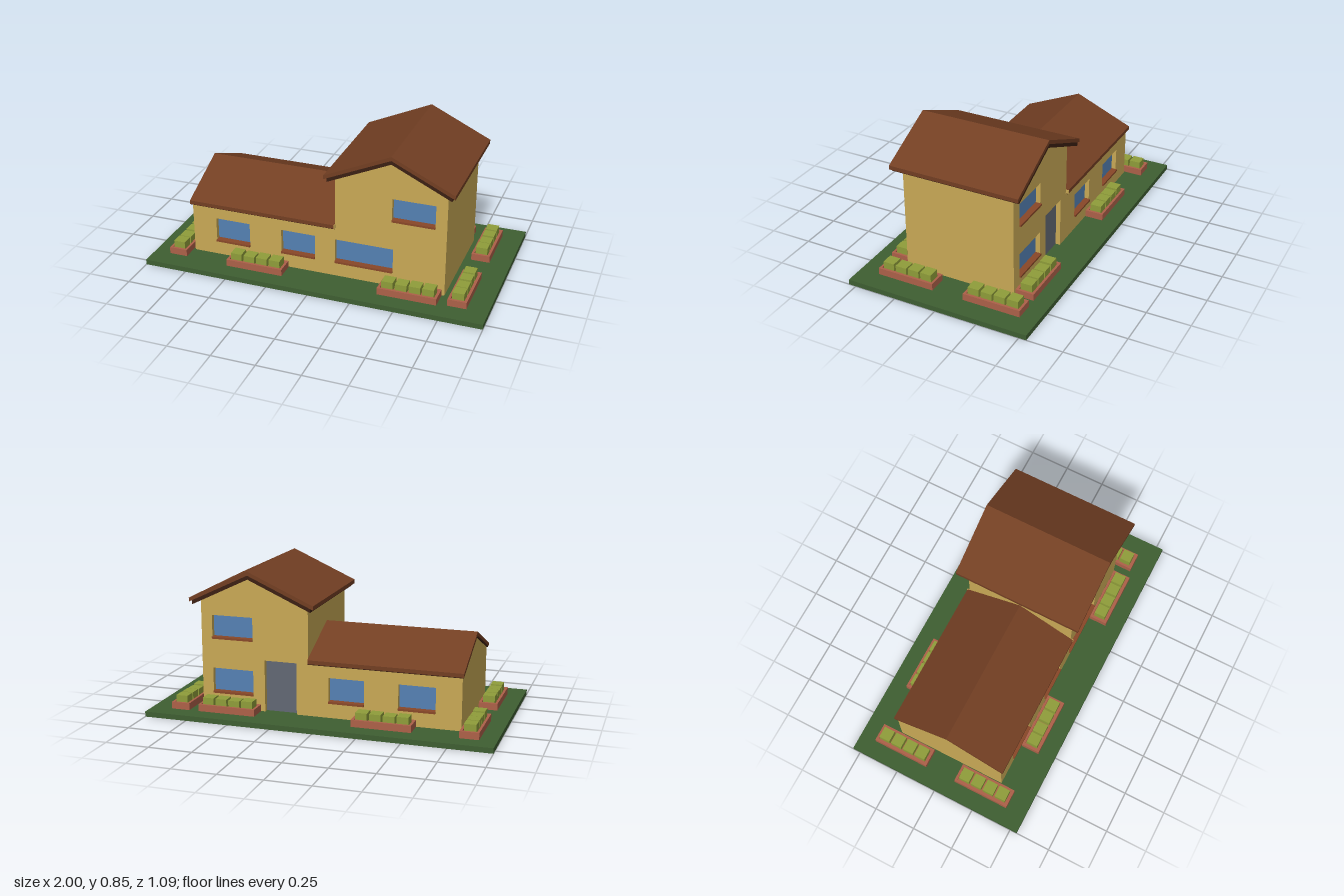
import * as THREE from 'three';

const mat = (name, color) => Object.assign(new THREE.MeshStandardMaterial({ color }), { name });

export function createModel() {
  const house = new THREE.Group();
  house.name = 'house';

  const grass = mat('grass green', 0x3f5f32);
  const plaster = mat('ochre plaster', 0xcaaa56);
  const roofBrown = mat('roof brown', 0x733f23);
  const fasciaBrown = mat('dark fascia', 0x3c2013);
  const sillBrown = mat('sill brown', 0x8a4828);
  const glass = mat('window blue', 0x5581b4);
  const doorGrey = mat('door grey', 0x636974);
  const brick = mat('planter brick', 0xae6149);
  const leaf = mat('bush green', 0x909e3a);

  const add = (name, geometry, material, parent = house) => {
    const mesh = new THREE.Mesh(geometry, material);
    mesh.name = name;
    parent.add(mesh);
    return mesh;
  };
  // Box given by its limits on each axis
  const box = (name, [x0, x1], [y0, y1], [z0, z1], material, parent) =>
    add(name, new THREE.BoxGeometry(x1 - x0, y1 - y0, z1 - z0)
      .translate((x0 + x1) / 2, (y0 + y1) / 2, (z0 + z1) / 2), material, parent);
  const outline = (points) => new THREE.Shape(points.map(([x, y]) => new THREE.Vector2(x, y)));
  const extrude = (shape, z0, z1) =>
    new THREE.ExtrudeGeometry(shape, { depth: z1 - z0, bevelEnabled: false }).translate(0, 0, z0);
  // Turns a z-extrusion so that it runs along x
  const alongX = (geometry) => geometry.rotateY(Math.PI / 2);

  // Ground slab
  box('ground', [-1, 1], [0, 0.03], [-0.543, 0.543], grass);

  // Solid cores of the tall block and the low wing
  const wall = 0.332, inner = 0.3;
  add('tallBlock', extrude(outline([[0.09, 0.02], [0.73, 0.02], [0.73, 0.654], [0.425, 0.8], [0.09, 0.654]]),
    -inner, inner), plaster);
  box('wingCore', [-0.78, 0.1], [0.02, 0.34], [-inner, inner], plaster);
  add('wingGable', alongX(extrude(outline([[-wall, 0.02], [wall, 0.02], [wall, 0.34], [0, 0.476], [-wall, 0.34]]),
    -0.785, -0.775)), plaster);

  // Facades with recessed openings: x0, x1, y0, y1
  const wingWindows = [[-0.64, -0.43, 0.12, 0.262], [-0.235, -0.03, 0.12, 0.262]];
  const upperWindow = [0.42, 0.665, 0.44, 0.572];
  function facade(name, side, windows, doors) {
    const group = new THREE.Group();
    group.name = name;
    house.add(group);
    const span = (a, b) => (side > 0 ? [a, b] : [-b, -a]);
    const shape = outline([[-0.78, 0.02], [0.73, 0.02], [0.73, 0.654], [0.425, 0.8],
      [0.09, 0.654], [0.09, 0.345], [-0.78, 0.345]]);
    for (const [x0, x1, y0, y1] of [...windows, ...doors]) {
      shape.holes.push(new THREE.Path([[x0, y0], [x0, y1], [x1, y1], [x1, y0]]
        .map(([x, y]) => new THREE.Vector2(x, y))));
    }
    add('facadeWall', extrude(shape, ...span(inner, wall)), plaster, group);
    for (const [x0, x1, y0, y1] of windows) {
      box('windowPane', [x0, x1], [y0, y1], span(inner, inner + 0.005), glass, group);
      box('windowSill', [x0, x1], [y0 - 0.005, y0 + 0.007], span(inner, 0.342), sillBrown, group);
    }
    for (const [x0, x1, y0, y1] of doors) {
      box('door', [x0, x1], [y0, y1], span(inner, inner + 0.005), doorGrey, group);
    }
  }
  facade('frontFacade', 1, [...wingWindows, upperWindow, [0.09, 0.43, 0.12, 0.262]], []);
  facade('backFacade', -1, [...wingWindows, upperWindow, [0.42, 0.665, 0.12, 0.262]], [[0.16, 0.35, 0.025, 0.33]]);

  // Folded roof sheet of even vertical thickness over left eave, ridge and right eave
  const roofSheet = (points, thickness, a, b) => extrude(outline([
    ...points.map(([x, y]) => [x, y - thickness]),
    ...[...points].reverse(),
  ]), a, b);

  // Tall block roof with its darker fascia layer
  add('tallRoof', roofSheet([[0.042, 0.675], [0.425, 0.845], [0.78, 0.675]], 0.023, -0.384, 0.384), roofBrown);
  add('tallRoofFascia', roofSheet([[0.06, 0.66], [0.425, 0.822], [0.762, 0.66]], 0.023, -0.38, 0.38), fasciaBrown);

  // Wing roof, running along x
  add('wingRoof', alongX(roofSheet([[-0.347, 0.358], [0, 0.507], [0.347, 0.358]], 0.022, -0.795, 0.09)), roofBrown);
  add('wingRoofFascia', alongX(roofSheet([[-0.34, 0.339], [0, 0.485], [0.34, 0.339]], 0.009, -0.792, 0.09)), fasciaBrown);
  for (const s of [-1, 1]) {
    box('eaveReturn', [0.088, 0.094], [0.337, 0.36], s > 0 ? [0.33, 0.349] : [-0.349, -0.33], plaster);
  }

  // Brick planters with a rim and four clipped bushes
  function planter(x, z, turned) {
    const group = new THREE.Group();
    group.name = 'planter';
    const L = 0.17, W = 0.054, rim = 0.014;
    box('planterSoilBed', [-L + rim, L - rim], [0.03, 0.058], [-W + rim, W - rim], brick, group);
    for (const s of [-1, 1]) {
      const range = (a, b) => (s > 0 ? [a, b] : [-b, -a]);
      box('planterLongSide', [-L, L], [0.03, 0.07], range(W - rim, W), brick, group);
      box('planterShortSide', range(L - rim, L), [0.03, 0.07], [-W + rim, W - rim], brick, group);
    }
    [0.107, 0.103, 0.106, 0.107].forEach((top, i) => {
      const c = -0.117 + i * 0.078;
      box('bush', [c - 0.033, c + 0.033], [0.055, top], [-0.034, 0.034], leaf, group);
    });
    group.position.set(x, 0, z);
    if (turned) group.rotation.y = Math.PI / 2;
    house.add(group);
  }
  for (const z of [0.391, -0.388]) {
    planter(-0.362, z, false);
    planter(0.545, z, false);
  }
  for (const z of [0.255, -0.273]) {
    planter(-0.85, z, true);
    planter(0.825, z, true);
  }

  return house;
}
